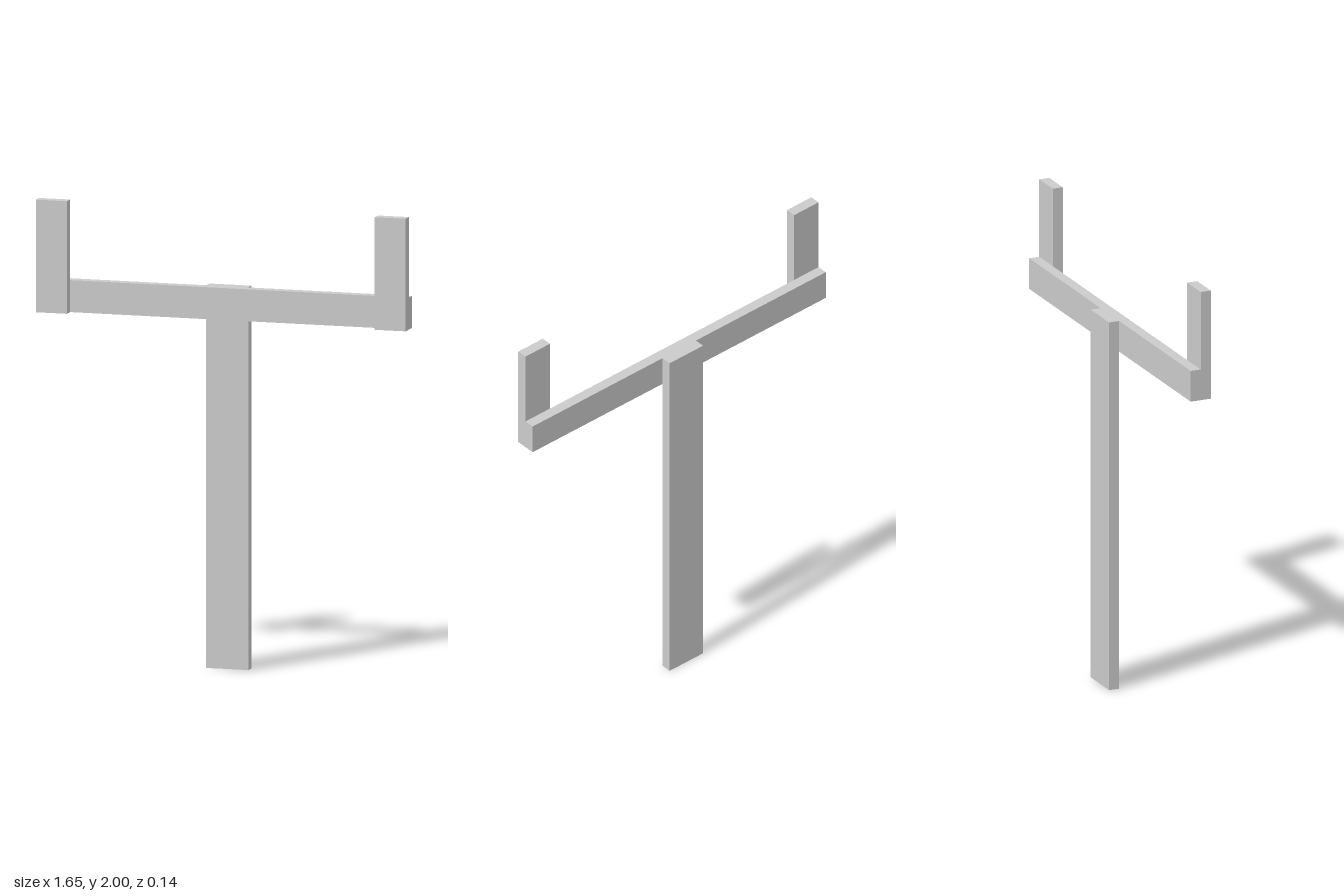
import * as THREE from 'three';

const material = new THREE.MeshStandardMaterial({ color: 0xcccccc, flatShading: true });
const THICK = 0.047; // every board has the same thickness

// Flat board spanning x0..x1 and y0..y1, centred at depth z
function board(name, x0, x1, y0, y1, z) {
  const mesh = new THREE.Mesh(new THREE.BoxGeometry(x1 - x0, y1 - y0, THICK), material);
  mesh.position.set((x0 + x1) / 2, (y0 + y1) / 2, z);
  mesh.name = name;
  return mesh;
}

export function createModel() {
  const group = new THREE.Group();
  group.name = 'postWithCrossbar';

  // Tall post behind the crossbar
  group.add(board('post', -0.094, 0.094, 0, 1.652, -THICK));

  // Horizontal crossbar in the middle layer
  group.add(board('crossbar', -0.824, 0.824, 1.514, 1.652, 0));

  // Short uprights on the front of the crossbar ends
  group.add(board('leftUpright', 0.686, 0.824, 1.514, 2, THICK));
  group.add(board('rightUpright', -0.824, -0.686, 1.514, 2, THICK));

  return group;
}
